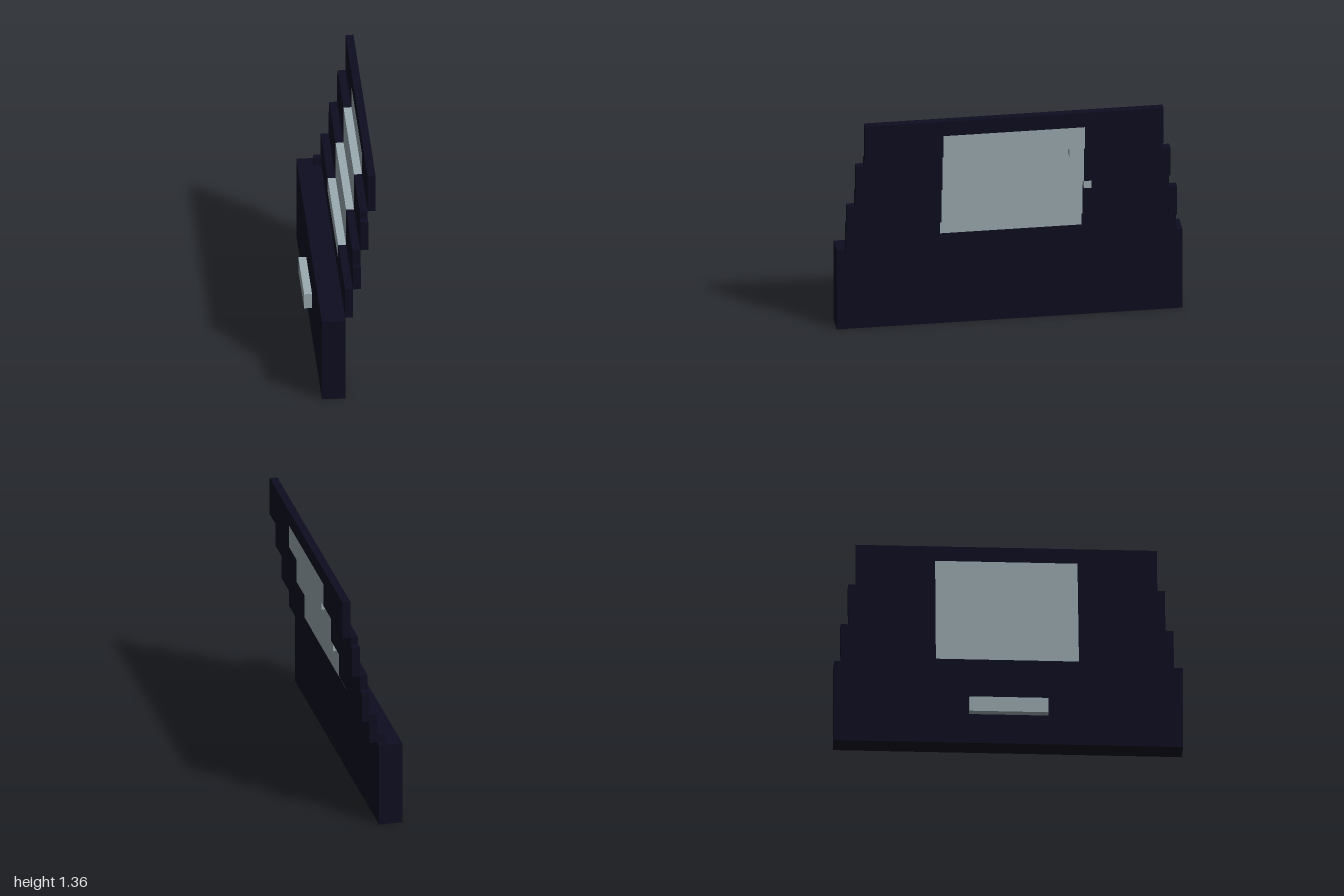
import * as THREE from 'three';

const U = 1 / 22; // one block; the door is 44 blocks long

export function createModel() {
  const door = new THREE.Group();
  door.name = 'door';

  const paint = new THREE.MeshStandardMaterial({ color: 0x0d0d20 });
  paint.name = 'dark navy paint';
  const pale = new THREE.MeshStandardMaterial({ color: 0x9babb0 });
  pale.name = 'pale grey';

  // Box between two corners, measured in blocks
  function block(name, material, x0, x1, y0, y1, z0, z1) {
    const mesh = new THREE.Mesh(
      new THREE.BoxGeometry((x1 - x0) * U, (y1 - y0) * U, (z1 - z0) * U), material);
    mesh.position.set((x0 + x1) / 2 * U, (y0 + y1) / 2 * U, (z0 + z1) / 2 * U);
    mesh.name = name;
    door.add(mesh);
  }

  // Thick lower panel and its handle
  block('lowerPanel', paint, -3, 0, 0, 11, -22, 22);
  block('handle', pale, -4, -3, 4, 6, -5, 5);

  // Leaning upper frame: x, bottom, top, half length, whether the window cuts it
  const rows = [
    [0, 11, 13, 21, false],
    [0, 13, 15, 21, true],
    [1, 15, 18, 21, true],
    [1, 18, 20, 20, true],
    [2, 20, 24, 20, true],
    [2, 24, 25, 19, true],
    [3, 25, 28, 19, true],
    [3, 28, 30, 19, false],
  ];
  for (const [x, y0, y1, half, cut] of rows) {
    if (cut) {
      block('windowFrameFront', paint, x, x + 1, y0, y1, 9, half);
      block('windowFrameBack', paint, x, x + 1, y0, y1, -half, -9);
    } else {
      block('windowFrameRail', paint, x, x + 1, y0, y1, -half, half);
    }
  }

  // Stepped window panes
  [[0, 13, 15], [1, 15, 20], [2, 20, 25], [3, 25, 28]].forEach(([x, y0, y1]) =>
    block('windowPane', pale, x, x + 1, y0, y1, -9, 9));

  // Single blocks joining the steps
  block('lowerFrameTab', paint, -1, 0, 11, 12, -21, -20);
  block('upperFrameTab', paint, 1, 2, 14, 15, -21, -20);
  block('lowerWindowTab', pale, 2, 3, 19, 20, -10, -9);
  block('upperWindowTab', pale, 3, 4, 24, 25, -8, -7);

  return door;
}
